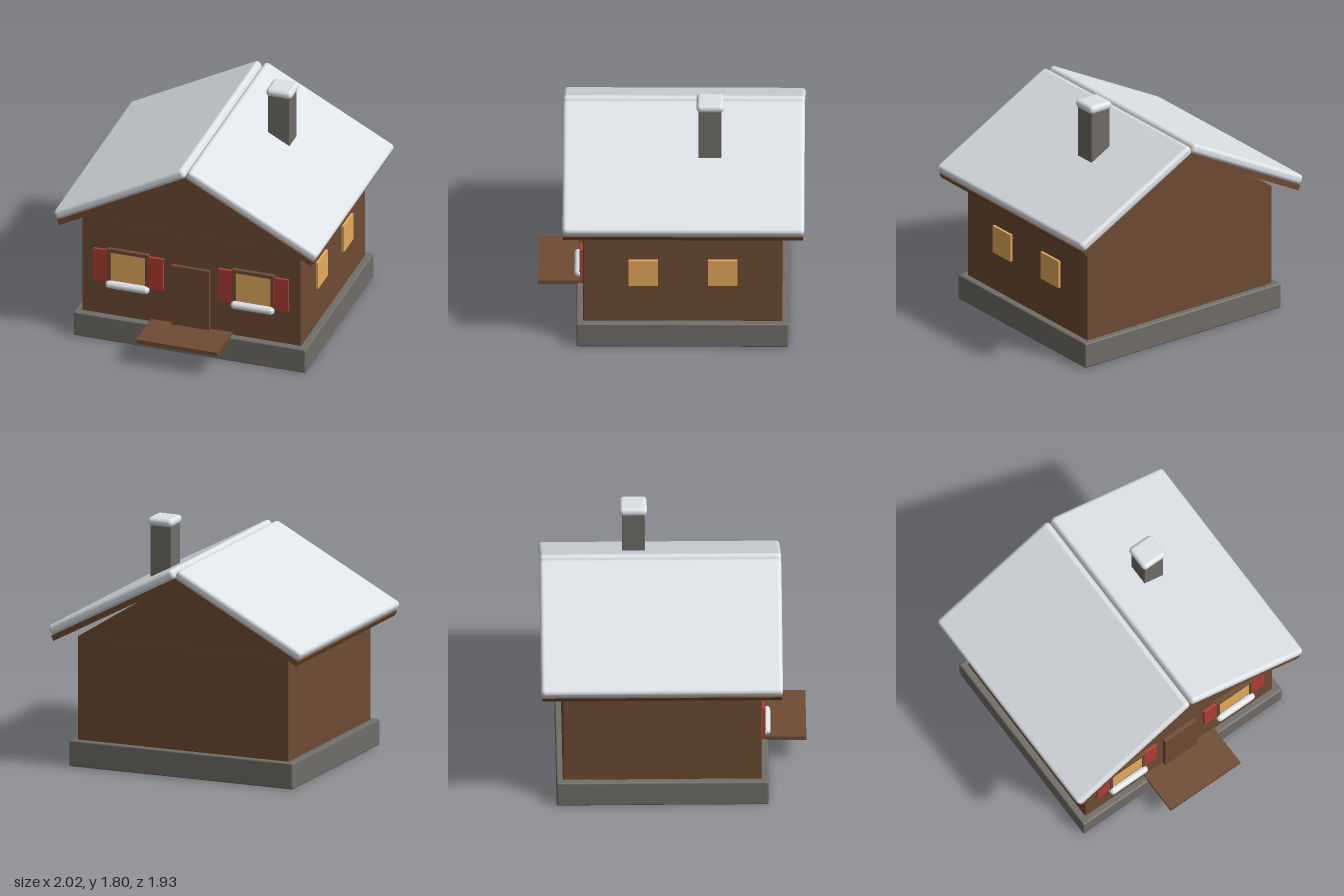
import * as THREE from 'three';
import { RoundedBoxGeometry } from 'three/addons/geometries/RoundedBoxGeometry.js';

const mat = (name, color) => {
  const m = new THREE.MeshStandardMaterial({ color });
  m.name = name;
  return m;
};

export function createModel() {
  const wood = mat('brown wood', 0x6e4c33);
  const stone = mat('grey stone', 0x716e69);
  const snow = mat('snow', 0xe9eef3);
  const glow = mat('lit window', 0xf0b460);
  const red = mat('red paint', 0xb13d36);

  const house = new THREE.Group();
  house.name = 'cabin';

  // Box between two corners; a radius rounds its edges
  const box = (name, material, [x0, x1], [y0, y1], [z0, z1], radius = 0, parent = house) => {
    const size = [x1 - x0, y1 - y0, z1 - z0];
    const geo = radius
      ? new RoundedBoxGeometry(...size, 3, radius)
      : new THREE.BoxGeometry(...size);
    const mesh = new THREE.Mesh(geo, material);
    mesh.name = name;
    mesh.position.set((x0 + x1) / 2, (y0 + y1) / 2, (z0 + z1) / 2);
    parent.add(mesh);
    return mesh;
  };

  // Foundation and walls
  box('foundation', stone, [-0.89, 0.89], [0, 0.195], [-0.855, 0.685], 0.012);
  box('walls', wood, [-0.84, 0.84], [0.19, 0.97], [-0.81, 0.635], 0.008);

  // Gable prism, a little steeper than the roof
  const triangle = new THREE.Shape();
  triangle.moveTo(-0.84, 0.965);
  triangle.lineTo(0.84, 0.965);
  triangle.lineTo(0, 1.497);
  triangle.closePath();
  const gable = new THREE.Mesh(
    new THREE.ExtrudeGeometry(triangle, { depth: 1.445, bevelEnabled: false }), wood);
  gable.name = 'gable';
  gable.position.z = -0.81;
  house.add(gable);

  // Roof slopes: boards with a thick snow slab on top
  const pitch = THREE.MathUtils.degToRad(28);
  for (const s of [-1, 1]) {
    const slope = new THREE.Group();
    slope.name = s > 0 ? 'leftRoofSlope' : 'rightRoofSlope';
    slope.position.y = 1.51;
    slope.rotation.z = -s * pitch;
    const span = (a, b) => (s > 0 ? [a, b] : [-b, -a]);
    box('roofBoards', wood, span(0, 1.115), [-0.04, 0.002], [-0.96, 0.78], 0, slope);
    box('roofSnow', snow, span(0.02, 1.145), [0, 0.075], [-0.97, 0.787], 0.03, slope)
      .position.x -= s * 0.03;
    house.add(slope);
  }

  // Chimney with a snow cap
  box('chimney', stone, [0.3, 0.465], [1.25, 1.74], [-0.365, -0.2], 0.004);
  box('chimneySnow', snow, [0.284, 0.484], [1.732, 1.796], [-0.385, -0.185], 0.03);

  // Door and step
  box('door', wood, [-0.143, 0.143], [0.2, 0.7], [0.62, 0.665]);
  box('step', wood, [-0.312, 0.312], [0.185, 0.215], [0.63, 0.965]);

  // Front windows with frame, lintel, shutters and snowy sill
  for (const s of [-1, 1]) {
    const win = new THREE.Group();
    win.name = s > 0 ? 'leftFrontWindow' : 'rightFrontWindow';
    win.position.x = s * 0.48;
    house.add(win);
    box('pane', glow, [-0.135, 0.135], [0.49, 0.73], [0.63, 0.653], 0, win);
    box('lintel', wood, [-0.16, 0.16], [0.727, 0.753], [0.63, 0.668], 0, win);
    box('sill', wood, [-0.16, 0.16], [0.465, 0.491], [0.63, 0.668], 0, win);
    box('sillSnow', snow, [-0.167, 0.167], [0.437, 0.495], [0.642, 0.702], 0.028, win);
    for (const t of [-1, 1]) {
      const side = (a, b) => (t > 0 ? [a, b] : [-b, -a]);
      box('windowJamb', wood, side(0.134, 0.155), [0.48, 0.74], [0.63, 0.665], 0, win);
      box('shutter', red, side(0.148, 0.267), [0.475, 0.735], [0.638, 0.66], 0, win);
    }
  }

  // Windows in the left wall
  for (const z of [0.2, -0.378]) {
    box('sideWindow', glow, [0.83, 0.859], [0.5, 0.712], [z - 0.108, z + 0.108]);
  }

  return house;
}
